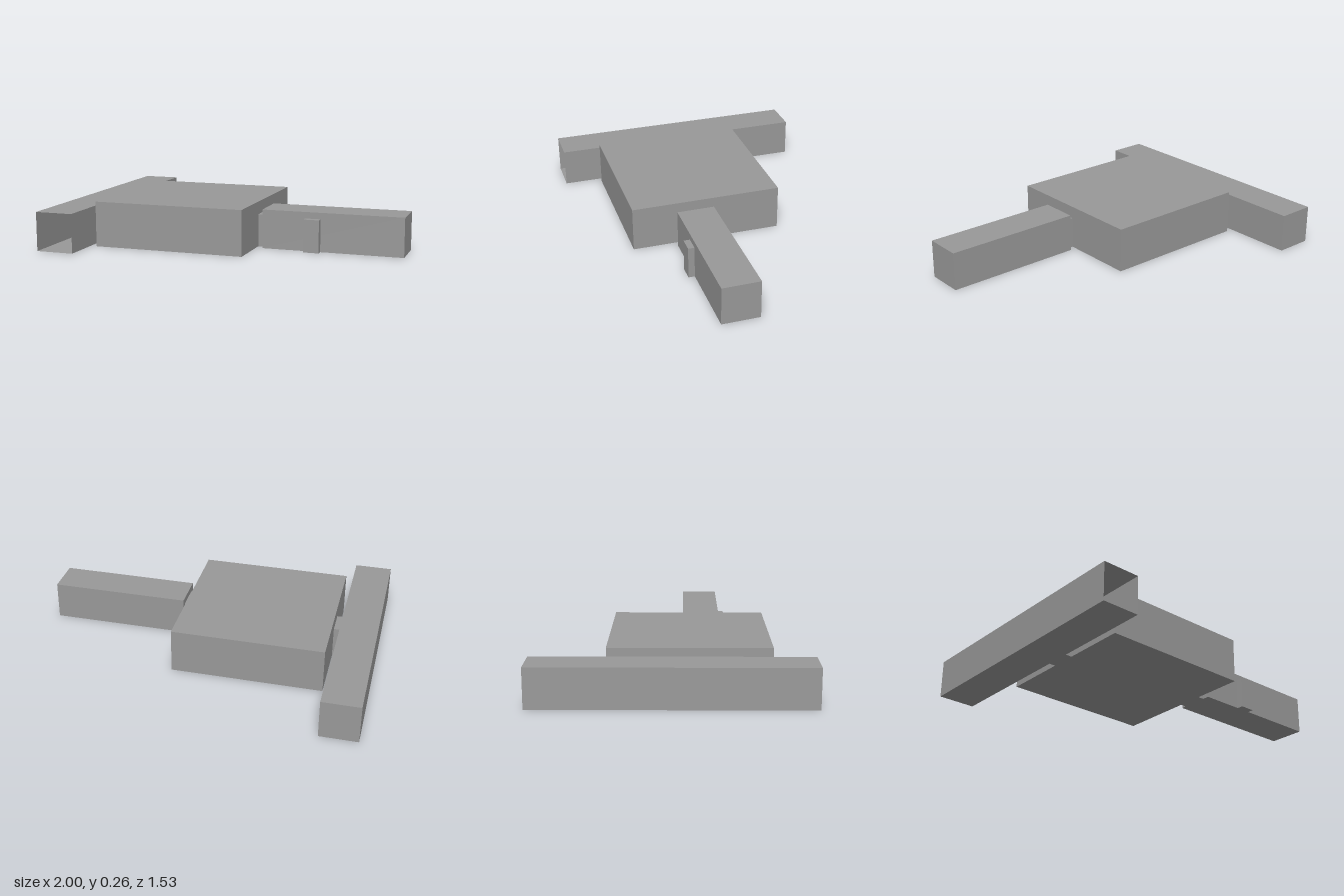
import * as THREE from 'three';

export function createModel() {
  const model = new THREE.Group();
  model.name = 'buildingComplex';

  const grey = new THREE.MeshStandardMaterial({ color: 0x999999, side: THREE.DoubleSide });
  grey.name = 'plain grey';

  // Block standing on the ground, given by its x and z extents and height
  function block(name, x0, x1, z0, z1, height) {
    const geometry = new THREE.BoxGeometry(x1 - x0, height, z1 - z0);
    geometry.translate((x0 + x1) / 2, height / 2, (z0 + z1) / 2);
    const mesh = new THREE.Mesh(geometry, grey);
    mesh.name = name;
    model.add(mesh);
    return mesh;
  }

  // Main hall and the two wings
  block('mainHall', -0.742, 0.145, -0.352, 0.538, 0.262);
  block('sideWing', 0.183, 1, 0.06, 0.281, 0.225);
  const longWing = block('longWing', -1, -0.78, -0.763, 0.763, 0.225);

  // The long wing is hollow and open at its front end: drop the +z face
  const index = Array.from(longWing.geometry.index.array);
  index.splice(24, 6);
  longWing.geometry.setIndex(index);
  longWing.geometry.clearGroups();

  // Low passages joining the hall to the wings
  block('longWingPassage', -0.78, -0.742, 0.02, 0.168, 0.188);
  block('sideWingPassage', 0.145, 0.183, 0.09, 0.24, 0.188);

  // Entrance porch on the front of the side wing
  block('entrancePorch', 0.435, 0.525, 0.281, 0.318, 0.188);

  return model;
}
